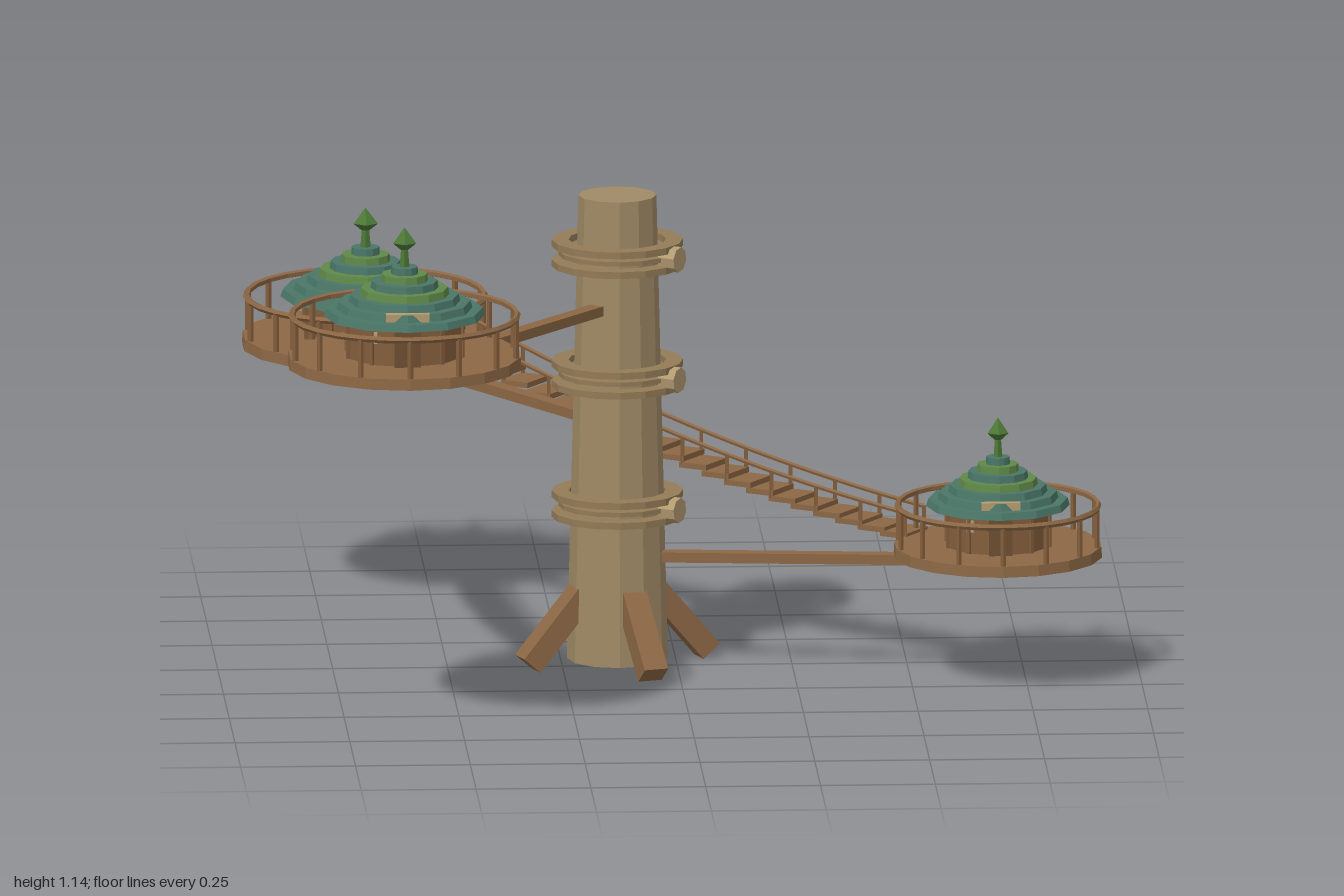
import * as THREE from 'three';

const mat = (name, color) => {
  const m = new THREE.MeshStandardMaterial({ color, flatShading: true });
  m.name = name;
  return m;
};

export function createModel() {
  const M = {
    bark: mat('bark', 0xa08a66),
    rope: mat('rope', 0x937b57),
    cutWood: mat('cut wood', 0xb59c72),
    deck: mat('deck wood', 0x8c6744),
    wall: mat('wall wood', 0x845e3c),
    dark: mat('dark wood', 0x6e4e31),
    teal: mat('teal shingle', 0x4a7668),
    green: mat('green shingle', 0x5f8849),
    leaf: mat('finial green', 0x4c7836),
  };
  const root = new THREE.Group();
  root.name = 'treeVillage';

  const add = (parent, name, geo, material, x = 0, y = 0, z = 0) => {
    const mesh = new THREE.Mesh(geo, material);
    mesh.name = name;
    mesh.position.set(x, y, z);
    parent.add(mesh);
    return mesh;
  };
  const cyl = (rt, rb, h, n) => new THREE.CylinderGeometry(rt, rb, h, n);
  const V = (x, y, z) => new THREE.Vector3(x, y, z);
  // Box whose long axis runs from a to b
  const beam = (name, a, b, w, h, material) => {
    const mesh = add(root, name, new THREE.BoxGeometry(w, h, a.distanceTo(b)), material);
    mesh.position.copy(a).add(b).multiplyScalar(0.5);
    mesh.lookAt(b);
  };
  // Flat collar with a square section
  const collar = (ri, ro, h) => new THREE.LatheGeometry(
    [[ri, -h / 2], [ro, -h / 2], [ro, h / 2], [ri, h / 2], [ri, -h / 2]].map((p) => new THREE.Vector2(...p)), 16);

  // Trunk
  const TX = -0.129, TZ = -0.022;
  const tree = new THREE.Group();
  tree.name = 'tree';
  tree.position.set(TX, 0, TZ);
  root.add(tree);
  add(tree, 'trunk', cyl(0.085, 0.11, 1.03, 12), M.bark, 0, 0.531, 0);

  // Buttress roots
  for (let i = 0; i < 4; i++) {
    const a = THREE.MathUtils.degToRad(19 + 90 * i);
    const at = (r, y) => V(TX + r * Math.sin(a), y, TZ + r * Math.cos(a));
    beam('root', at(0.21, 0.019), at(0.075, 0.175), 0.055, 0.05, M.deck);
  }

  // Rope bands with log pegs
  for (const y of [0.918, 0.65, 0.36]) {
    for (const dy of [-0.022, 0.022]) add(tree, 'ropeBand', collar(0.106, 0.143, 0.015), M.rope, 0, y + dy, 0);
    add(tree, 'innerBand', collar(0.1, 0.128, 0.01), M.rope, 0, y, 0);
    for (const [x, z] of [[0.115, 0.075], [-0.047, -0.132]]) {
      const peg = add(tree, 'peg', cyl(0.028, 0.028, 0.04, 8), M.cutWood, x, y, z);
      peg.quaternion.setFromUnitVectors(V(0, 1, 0), V(x, 0, z).normalize());
    }
  }

  // Platform with railing, round hut and tiered roof
  const platform = (name, x, y, z, s) => {
    const g = new THREE.Group();
    g.name = name;
    g.position.set(x, y, z);
    g.scale.set(s * 0.95, 1, s);
    root.add(g);
    add(g, 'deck', cyl(0.268, 0.27, 0.024, 18), M.deck, 0, 0.012, 0);

    const rail = add(g, 'rail', new THREE.TorusGeometry(0.259, 0.0075, 5, 28), M.deck, 0, 0.11, 0);
    rail.rotation.x = Math.PI / 2;
    for (let i = 0; i < 14; i++) {
      const a = (i / 14) * Math.PI * 2;
      add(g, 'railPost', cyl(0.007, 0.007, 0.088, 5), M.wall, 0.259 * Math.sin(a), 0.067, 0.259 * Math.cos(a));
    }

    add(g, 'hutWall', cyl(0.137, 0.137, 0.095, 10), M.wall, 0, 0.07, 0);
    for (let i = 0; i < 10; i++) {
      const a = (i / 10) * Math.PI * 2;
      const post = add(g, 'wallPost', new THREE.BoxGeometry(0.01, 0.09, 0.01), M.wall,
        0.136 * Math.sin(a), 0.067, 0.136 * Math.cos(a));
      post.rotation.y = a;
    }
    add(g, 'door', new THREE.BoxGeometry(0.06, 0.08, 0.014), M.dark, 0, 0.064, 0.136);
    add(g, 'lintel', new THREE.BoxGeometry(0.1, 0.03, 0.018), M.cutWood, 0, 0.128, 0.139);
    const win = add(g, 'window', new THREE.BoxGeometry(0.022, 0.026, 0.008), M.cutWood, -0.076, 0.085, 0.11);
    win.rotation.y = -Math.PI / 5;

    // Stepped roof tiers, largest first
    const tiers = [0.185, 0.156, 0.128, 0.103, 0.078, 0.054, 0.031];
    tiers.forEach((r, i) => {
      const m = i === 3 || i === 5 ? M.green : M.teal;
      add(g, 'roofTier', cyl(r * 0.97, r, 0.0155, 12), m, 0, 0.118 + i * 0.0155, 0);
    });
    add(g, 'finialNeck', cyl(0.008, 0.012, 0.045, 5), M.leaf, 0, 0.24, 0);
    add(g, 'finialBase', cyl(0.028, 0.01, 0.015, 5), M.leaf, 0, 0.264, 0);
    add(g, 'finialTip', new THREE.ConeGeometry(0.028, 0.034, 5), M.leaf, 0, 0.2885, 0);

    // Support beam from the trunk to the deck centre
    beam('supportBeam', V(TX, y - 0.034, TZ), V(x, y - 0.011, z), 0.034, 0.022, M.deck);
  };
  platform('upperHouse', -0.63, 0.836, 0.73, 1);
  platform('middleHouse', -0.643, 0.567, -0.715, 1.055);
  platform('lowerHouse', 0.69, 0.277, 0.167, 0.89);

  // Sagging stair bridge with treads, posts and rails
  const bridge = (name, a, b, sag, n) => {
    const g = new THREE.Group();
    g.name = name;
    root.add(g);
    const mid = a.clone().lerp(b, 0.5);
    mid.y -= sag * 2;
    const curve = new THREE.QuadraticBezierCurve3(a, mid, b);
    const run = Math.hypot(b.x - a.x, b.z - a.z);
    const yaw = Math.atan2(b.x - a.x, b.z - a.z);
    const side = V(Math.cos(yaw), 0, -Math.sin(yaw));
    for (let i = 0; i < n; i++) {
      const p = curve.getPoint((i + 0.5) / n);
      const tread = add(g, 'tread', new THREE.BoxGeometry(0.09, 0.012, (run / n) * 1.2), M.deck, p.x, p.y, p.z);
      tread.rotation.y = yaw;
    }
    for (const k of [-0.041, 0.041]) {
      const top = new THREE.QuadraticBezierCurve3(...[a, mid, b].map(
        (p) => p.clone().addScaledVector(side, k).add(V(0, 0.055, 0))));
      add(g, 'bridgeRail', new THREE.TubeGeometry(top, 20, 0.005, 5), M.deck);
      for (let i = 0; i <= n; i += 2) {
        const p = top.getPoint(i / n);
        add(g, 'bridgePost', new THREE.BoxGeometry(0.008, 0.06, 0.008), M.wall, p.x, p.y - 0.029, p.z);
      }
    }
  };
  bridge('upperBridge', V(-0.632, 0.85, 0.475), V(-0.642, 0.58, -0.43), 0.045, 16);
  bridge('lowerBridge', V(-0.425, 0.585, -0.565), V(0.515, 0.298, 0.045), 0.035, 20);

  return root;
}
